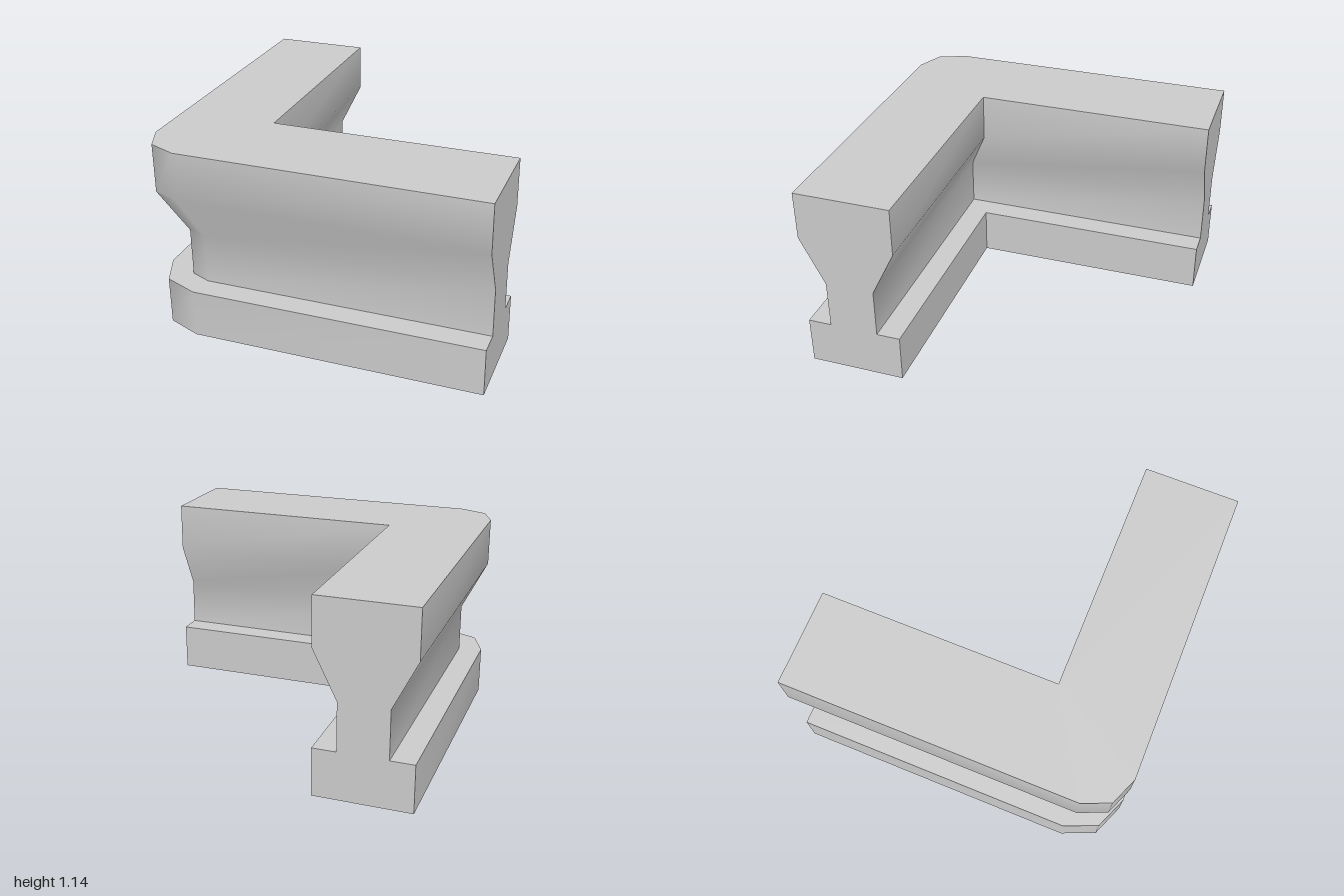
import * as THREE from 'three';
import { toCreasedNormals } from 'three/addons/utils/BufferGeometryUtils.js';

const WIDTH = 0.57; // arm thickness

// L-shaped outline; inset narrows the long walls, r rounds the outer corner
function outline({ y, inset, r }) {
  const o = 1 - inset, inner = 1 - WIDTH + inset, mid = o - r * 0.293;
  return [
    [1, o], [-o + r, o], [-mid, mid], [-o, o - r],
    [-o, -1], [-inner, -1], [-inner, inner], [1, inner],
  ].map(([x, z]) => new THREE.Vector3(x, y, z));
}

// Stack outlines into a closed solid with soft bends and sharp right angles
function loft(levels) {
  const rings = levels.map(outline);
  const n = rings[0].length, pos = [];
  const tri = (...points) => points.forEach((p) => pos.push(p.x, p.y, p.z));

  // Walls and arm ends
  for (let k = 0; k < rings.length - 1; k++) {
    const low = rings[k], high = rings[k + 1];
    for (let i = 0; i < n; i++) {
      const j = (i + 1) % n;
      tri(low[j], low[i], high[i]);
      tri(low[j], high[i], high[j]);
    }
  }

  // Top and bottom, fanned from the inner corner
  const top = rings[rings.length - 1], bottom = rings[0], c = 6;
  for (let s = 1; s < n - 1; s++) {
    const i = (c + s) % n, j = (c + s + 1) % n;
    tri(top[c], top[j], top[i]);
    tri(bottom[c], bottom[i], bottom[j]);
  }

  const geometry = new THREE.BufferGeometry();
  geometry.setAttribute('position', new THREE.Float32BufferAttribute(pos, 3));
  return toCreasedNormals(geometry, 0.9);
}

export function createModel() {
  const group = new THREE.Group();
  group.name = 'cornerWall';
  const stone = new THREE.MeshStandardMaterial({ color: 0xcccccc });
  stone.name = 'stone grey';

  const add = (name, levels) => {
    const mesh = new THREE.Mesh(loft(levels), stone);
    mesh.name = name;
    group.add(mesh);
  };

  // Wide plinth
  add('base', [
    { y: 0, inset: 0, r: 0.285 },
    { y: 0.286, inset: 0, r: 0.285 },
  ]);

  // Narrow waist flaring out to the coping
  add('wall', [
    { y: 0.286, inset: 0.14, r: 0.17 },
    { y: 0.575, inset: 0.14, r: 0.17 },
    { y: 0.857, inset: 0, r: 0.23 },
    { y: 1.143, inset: 0, r: 0.23 },
  ]);

  return group;
}
